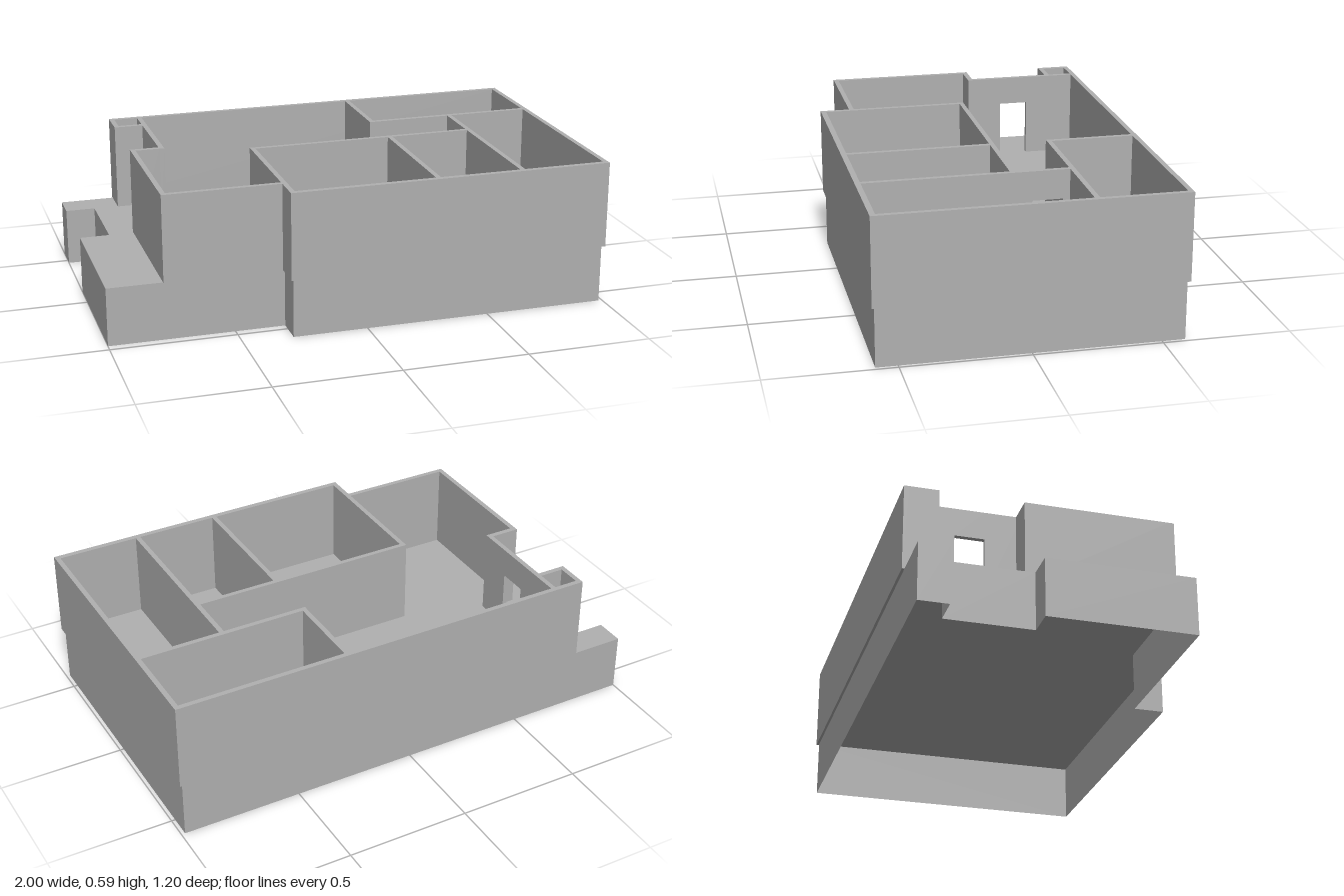
import * as THREE from 'three';

const concrete = new THREE.MeshStandardMaterial({ color: 0xb0b0b0, side: THREE.DoubleSide });
concrete.name = 'concrete grey';

const FLOOR = 0.236, TOP = 0.587, DOOR_TOP = 0.47, T = 0.02;

function addMesh(parent, name, geometry) {
  const mesh = new THREE.Mesh(geometry, concrete);
  mesh.name = name;
  parent.add(mesh);
  return mesh;
}

// Box given by its plan rectangle and height range
function block(parent, name, x0, x1, z0, z1, y0 = FLOOR, y1 = TOP) {
  const mesh = addMesh(parent, name, new THREE.BoxGeometry(x1 - x0, y1 - y0, z1 - z0));
  mesh.position.set((x0 + x1) / 2, (y0 + y1) / 2, (z0 + z1) / 2);
}

// Wall running along z with a doorway from d0 to d1
function doorWall(parent, name, x, z0, z1, d0, d1) {
  const wall = new THREE.Group();
  wall.name = name;
  block(wall, 'backPier', x, x + T, z0, d0);
  block(wall, 'frontPier', x, x + T, d1, z1);
  block(wall, 'lintel', x, x + T, d0, d1, DOOR_TOP, TOP);
  parent.add(wall);
}

// Hollow plinth: floor slab and thin skirt, open underneath
function createPlinth() {
  const plinth = new THREE.Group();
  plinth.name = 'plinth';
  const outline = [
    [-1, -0.59], [-1, -0.47], [-0.88, -0.47], [-0.88, -0.12], [-1, -0.12],
    [-1, 0.465], [-0.3, 0.465], [-0.3, 0.585], [0.985, 0.585], [0.985, -0.59],
  ];
  const shape = new THREE.Shape(outline.map(([x, z]) => new THREE.Vector2(x, -z)));
  const floor = new THREE.ShapeGeometry(shape);
  floor.rotateX(-Math.PI / 2);
  floor.translate(0, FLOOR - 0.001, 0);
  addMesh(plinth, 'floor', floor);

  const h = FLOOR - 0.001;
  const points = [];
  outline.forEach(([ax, az], i) => {
    const [bx, bz] = outline[(i + 1) % outline.length];
    points.push(ax, 0, az, bx, 0, bz, bx, h, bz, ax, 0, az, bx, h, bz, ax, h, az);
  });
  const skirt = new THREE.BufferGeometry();
  skirt.setAttribute('position', new THREE.Float32BufferAttribute(points, 3));
  skirt.computeVertexNormals();
  addMesh(plinth, 'skirt', skirt);
  return plinth;
}

function createWalls() {
  const walls = new THREE.Group();
  walls.name = 'walls';

  // Outer walls
  block(walls, 'backWall', -0.78, 0.997, -0.6, -0.58);
  block(walls, 'leftWall', 0.977, 0.997, -0.58, 0.595);
  block(walls, 'frontWall', -0.29, 0.977, 0.573, 0.595);
  block(walls, 'frontStepWall', -0.31, -0.29, -0.015, 0.595);
  block(walls, 'frontRightWall', -0.78, -0.31, 0.455, 0.475);
  block(walls, 'rightWall', -0.78, -0.76, -0.13, 0.455);

  // Entrance recess and the small shaft beside it
  block(walls, 'recessSideWall', -0.76, -0.662, -0.13, -0.109);
  doorWall(walls, 'entranceWall', -0.662, -0.58, -0.109, -0.375, -0.255);
  block(walls, 'shaftOuterWall', -0.78, -0.76, -0.58, -0.463);
  block(walls, 'shaftFrontWall', -0.76, -0.662, -0.483, -0.463);

  // Inner partitions
  block(walls, 'hallWall', -0.29, 0.625, -0.015, 0.004);
  block(walls, 'frontPartition', 0.275, 0.295, 0.004, 0.573);
  block(walls, 'backPartition', 0.275, 0.295, -0.58, -0.227);
  block(walls, 'backRoomWall', 0.295, 0.977, -0.247, -0.227);
  doorWall(walls, 'sideRoomWall', 0.625, -0.227, 0.573, -0.2, -0.08);
  return walls;
}

export function createModel() {
  const model = new THREE.Group();
  model.name = 'housePlan';
  model.add(createPlinth(), createWalls());
  return model;
}
